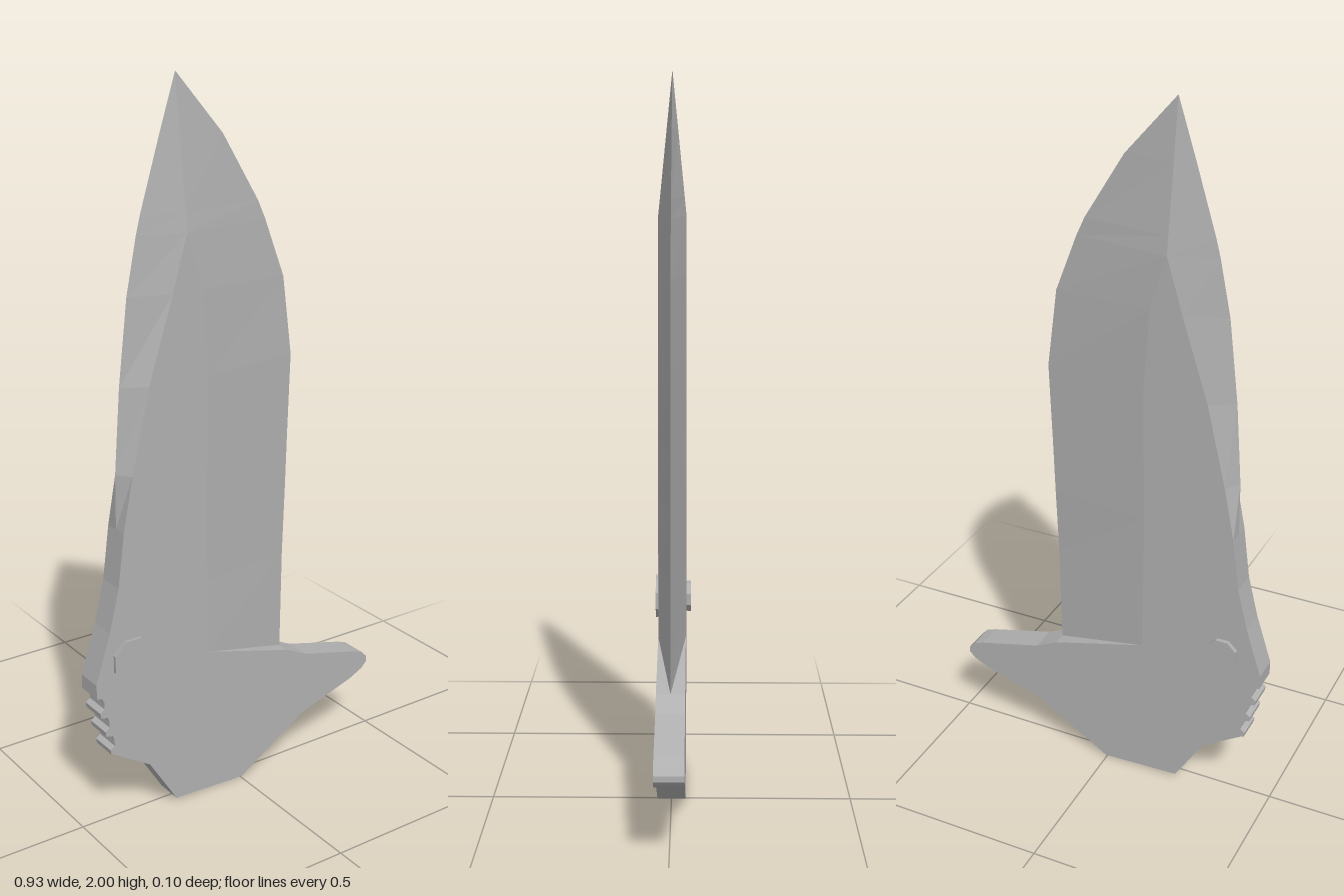
import * as THREE from 'three';

const H = 0.039; // half thickness of the steel

export function createModel() {
  const group = new THREE.Group();
  const steel = new THREE.MeshStandardMaterial({ color: 0xb0b0b0 });
  steel.name = 'steel grey';
  steel.flatShading = true;

  const add = (geometry, name) => {
    const mesh = new THREE.Mesh(geometry, steel);
    mesh.name = name;
    group.add(mesh);
    return mesh;
  };

  // Flat tang with thumb notches on the left and the flipper lever on the right
  const outline = [
    [-0.37, 0.85], [-0.39, 0.7], [-0.42, 0.58], [-0.465, 0.44], [-0.465, 0.4],
  ];
  for (let i = 0; i < 3; i++) {
    const x = -0.45 + i * 0.014, y = 0.395 - i * 0.06;
    outline.push([x, y], [x + 0.007, y - 0.012], [x + 0.007, y - 0.032],
      [x - 0.006, y - 0.042], [x - 0.004, y - 0.056]);
  }
  outline.push(
    [-0.422, 0.22], [-0.305, 0.147], [-0.22, 0.01], [0.005, 0], [0.22, 0.138],
    [0.4, 0.195], [0.445, 0.217], [0.463, 0.235], [0.463, 0.251], [0.445, 0.27],
    [0.415, 0.281], [0.23, 0.328], [0.165, 0.36], [-0.11, 0.435], [-0.112, 0.85],
  );
  const shape = new THREE.Shape(outline.map(([x, y]) => new THREE.Vector2(x, y)));
  const tang = new THREE.ExtrudeGeometry(shape, { depth: 2 * H, bevelEnabled: false });
  tang.translate(0, 0, -H);
  add(tang, 'tang');

  // Blade sections: height, spine x, flat's left x, flat's right x, edge x, edge height, half thickness
  const rows = [
    [0.435, -0.11, -0.11, -0.11, 0.165, 0.36, H],
    [0.65, -0.113, -0.113, -0.113, 0.17, 0.65, H],
    [0.85, -0.112, -0.112, -0.112, 0.178, 0.85, H],
    [0.85, -0.37, -0.37, -0.112, 0.178, 0.85, H],
    [1.0, -0.368, -0.34, -0.109, 0.183, 1.0, H],
    [1.23, -0.35, -0.285, -0.105, 0.192, 1.23, H],
    [1.46, -0.322, -0.21, -0.12, 0.164, 1.45, H],
    [1.61, -0.291, -0.165, -0.164, 0.103, 1.61, H],
    [1.66, -0.278, -0.165, -0.165, 0.08, 1.66, H * 0.87],
    [1.84, -0.222, -0.168, -0.168, -0.03, 1.84, H * 0.41],
    [2.0, -0.17, -0.17, -0.17, -0.17, 2.0, 0],
  ].map(([y, s, l, r, e, ey, h]) => [
    [s, y, 0], [l, y, h], [r, y, h], [e, ey, 0], [r, y, -h], [l, y, -h],
  ].map((p) => new THREE.Vector3(...p)));

  const positions = [];
  const triangle = (a, b, c) => {
    const area = new THREE.Triangle(a, b, c).getArea();
    if (area > 1e-7) for (const p of [a, b, c]) positions.push(p.x, p.y, p.z);
  };
  for (let i = 0; i < rows.length - 1; i++) {
    for (let j = 0; j < 6; j++) {
      const k = (j + 1) % 6;
      triangle(rows[i][j], rows[i][k], rows[i + 1][k]);
      triangle(rows[i][j], rows[i + 1][k], rows[i + 1][j]);
    }
  }
  const blade = new THREE.BufferGeometry();
  blade.setAttribute('position', new THREE.Float32BufferAttribute(positions, 3));
  blade.computeVertexNormals();
  add(blade, 'blade');

  // Octagonal pivot studs, the front one larger
  for (const [name, side, radius, outer] of [['frontPivot', 1, 0.064, 0.051], ['backPivot', -1, 0.046, 0.053]]) {
    const depth = outer - 0.03;
    const stud = new THREE.CylinderGeometry(radius, radius * 0.95, depth, 8);
    stud.rotateY(Math.PI / 8);
    stud.rotateX(side * Math.PI / 2);
    stud.translate(-0.353, 0.488, side * (outer - depth / 2));
    add(stud, name);
  }

  return group;
}
